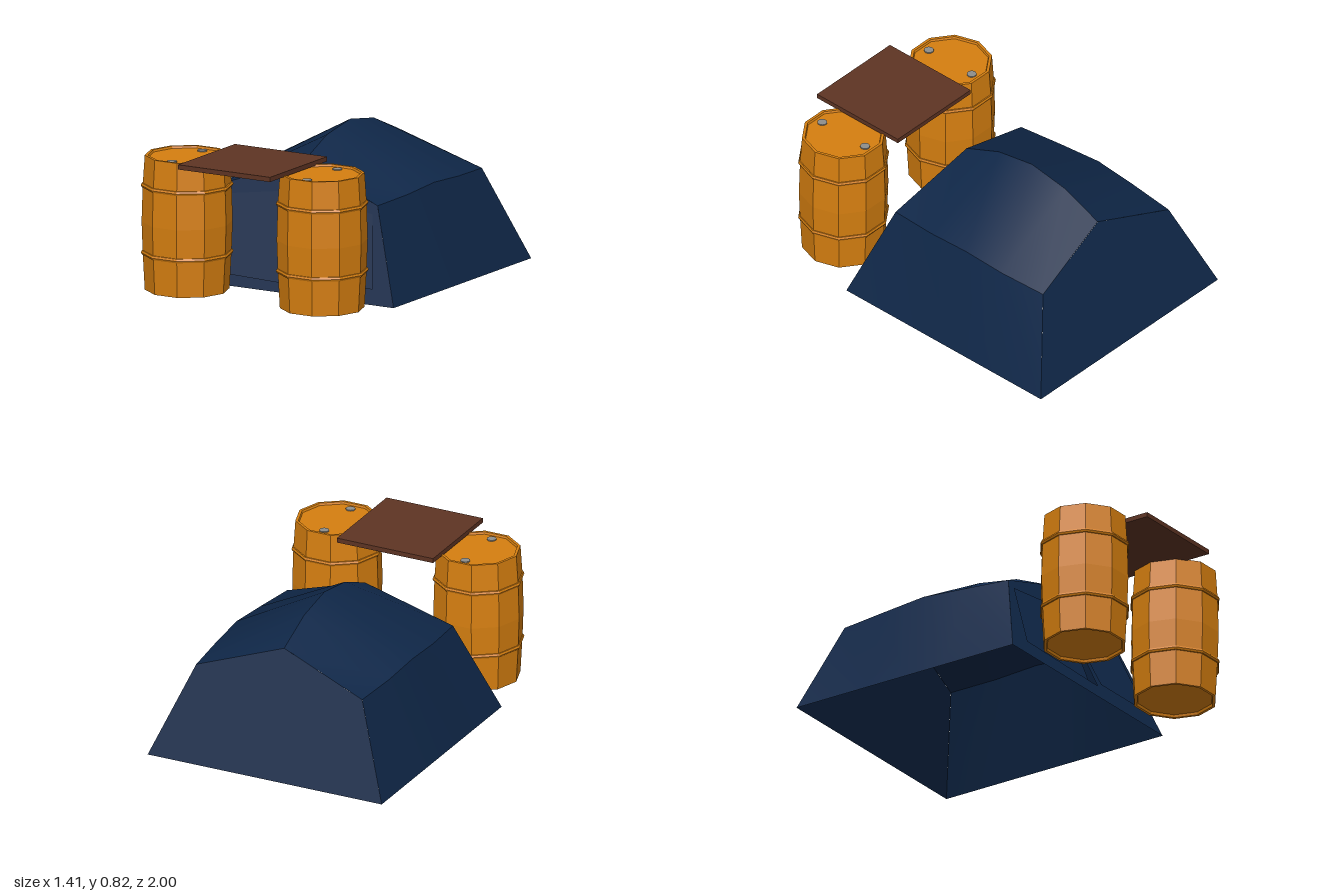
import * as THREE from 'three';
import { toCreasedNormals } from 'three/addons/utils/BufferGeometryUtils.js';

const mat = (name, color, side = THREE.FrontSide) => {
  const m = new THREE.MeshStandardMaterial({ color, side });
  m.name = name;
  return m;
};

function addMesh(parent, name, geometry, material, x = 0, y = 0, z = 0) {
  const mesh = new THREE.Mesh(geometry, material);
  mesh.name = name;
  mesh.position.set(x, y, z);
  parent.add(mesh);
  return mesh;
}

// Faceted solid of revolution with ten sides and corners on the x axis
function facetedLathe(points) {
  const profile = points.map(([r, y]) => new THREE.Vector2(r, y));
  const g = new THREE.LatheGeometry(profile, 10, Math.PI / 2).toNonIndexed();
  g.computeVertexNormals();
  return g;
}

// Flat cloth panel leaning back with the end wall; lift pushes its hem outward
function leaningPanel(points, lift = 0, hole = null) {
  const toVectors = (list) => list.map(([x, y]) => new THREE.Vector2(x, y));
  const shape = new THREE.Shape(toVectors(points));
  if (hole) shape.holes.push(new THREE.Path(toVectors(hole)));
  const g = new THREE.ShapeGeometry(shape);
  const p = g.attributes.position;
  for (let i = 0; i < p.count; i++) {
    const y = p.getY(i);
    const out = lift ? 0.003 + lift * (0.53 - y) : 0;
    p.setZ(i, 0.705 - 0.338 * y + out);
  }
  g.computeVertexNormals();
  return g;
}

// Side walls and roof, swept through cross-sections from front to back
function tentShell() {
  // base z, eave z, ridge z, eave x, eave y, ridge y
  const front = [
    [0.705, 0.534, 0.475, 0.5, 0.505, 0.68],
    [0.26, 0.26, 0.24, 0.522, 0.517, 0.78],
  ];
  const middle = [0, 0, 0, 0.53, 0.535, 0.82];
  const back = front.map(([a, b, c, ...rest]) => [-a, -b, -c, ...rest]).reverse();
  const sections = [...front, middle, ...back];

  const positions = [];
  const index = [];
  sections.forEach(([zb, ze, zr, xe, ye, yr], i) => {
    positions.push(0.705, 0, zb, xe, ye, ze, 0, yr, zr, -xe, ye, ze, -0.705, 0, zb);
    if (i === sections.length - 1) return;
    for (let j = 0; j < 4; j++) {
      const a = i * 5 + j, b = a + 1, d = a + 5, c = a + 6;
      index.push(a, d, b, b, d, c);
    }
  });
  const g = new THREE.BufferGeometry();
  g.setAttribute('position', new THREE.Float32BufferAttribute(positions, 3));
  g.setIndex(index);
  return toCreasedNormals(g, 0.5);
}

function createTent(cloth) {
  const tent = new THREE.Group();
  tent.name = 'tent';
  tent.position.z = -0.295;
  addMesh(tent, 'tentShell', tentShell(), cloth);

  // End walls, the front one with a door gap
  const wall = [[-0.705, 0], [0.705, 0], [0.5, 0.505], [0, 0.68], [-0.5, 0.505]];
  const gap = [[0, 0.535], [0, 0.085], [0.135, 0.085]];
  addMesh(tent, 'frontWall', leaningPanel(wall, 0, gap), cloth);
  addMesh(tent, 'backWall', leaningPanel(wall), cloth).rotation.y = Math.PI;

  // Door flaps, the left one drawn aside
  const rightFlap = [[0, 0.53], [-0.48, 0.46], [-0.57, 0.07], [0, 0.055]];
  const leftFlap = [[0, 0.53], [0.135, 0.085], [0.57, 0.085], [0.48, 0.46]];
  addMesh(tent, 'rightDoorFlap', leaningPanel(rightFlap, 0.045), cloth);
  addMesh(tent, 'leftDoorFlap', leaningPanel(leftFlap, 0.045), cloth);
  return tent;
}

function createBarrel(name, x, wood, metal) {
  const barrel = new THREE.Group();
  barrel.name = name;
  barrel.position.set(x, 0, 0.685);

  // Staves with recessed ends
  addMesh(barrel, 'barrelBody', facetedLathe([
    [0, 0.04], [0.208, 0.04], [0.212, 0.025], [0.228, 0.025],
    [0.239, 0.23], [0.245, 0.4], [0.239, 0.6],
    [0.228, 0.765], [0.212, 0.765], [0.208, 0.753], [0, 0.753],
  ]), wood);

  // Hoops
  for (const y of [0.23, 0.6]) {
    addMesh(barrel, 'hoop', facetedLathe([
      [0.234, -0.013], [0.244, -0.011], [0.249, 0], [0.244, 0.011], [0.234, 0.013],
    ]), wood, 0, y, 0);
  }

  // Plugs in the lid
  for (const z of [-0.155, 0.155]) {
    addMesh(barrel, 'lidPlug', new THREE.CylinderGeometry(0.026, 0.026, 0.008, 16), metal, 0, 0.755, z);
  }
  return barrel;
}

export function createModel() {
  const cloth = mat('navy cloth', 0x0f2748, THREE.DoubleSide);
  const wood = mat('orange barrel', 0xd67f10);
  const board = mat('brown board', 0x5e3423);
  const metal = mat('grey metal', 0x8f8f8c);

  const model = new THREE.Group();
  model.name = 'campsite';
  model.add(createTent(cloth));
  model.add(createBarrel('leftBarrel', 0.425, wood, metal));
  model.add(createBarrel('rightBarrel', -0.425, wood, metal));

  // Board resting across both barrels
  addMesh(model, 'tableBoard', new THREE.BoxGeometry(0.58, 0.026, 0.585), board, 0, 0.772, 0.7075);
  return model;
}
